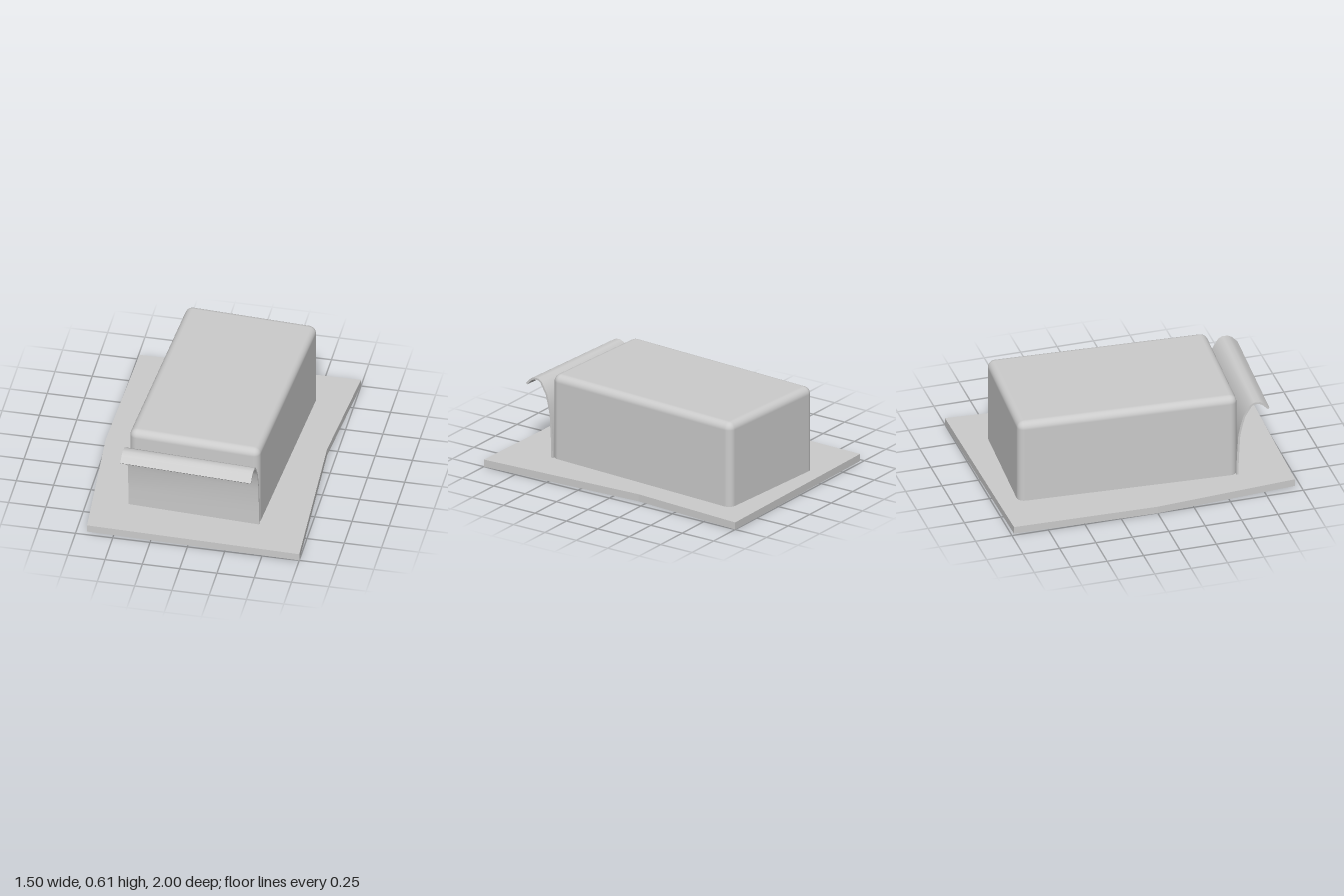
import * as THREE from 'three';
import { toCreasedNormals } from 'three/addons/utils/BufferGeometryUtils.js';
import { RoundedBoxGeometry } from 'three/addons/geometries/RoundedBoxGeometry.js';

const material = new THREE.MeshStandardMaterial({ color: 0xcccccc });

function part(name, geometry, parent) {
  const mesh = new THREE.Mesh(geometry, material);
  mesh.name = name;
  parent.add(mesh);
  return mesh;
}

// Plan outlines as [x, z]
const outer = [[-0.73, -0.98], [0.75, -1], [0.69, -0.19], [0.75, 1], [-0.68, 0.965], [-0.755, 0]];
const inner = [[-0.63, -0.89], [0.64, -0.92], [0.59, -0.19], [0.65, 0.885], [-0.58, 0.87], [-0.65, 0]];
const toPoints = (plan) => plan.map(([x, z]) => new THREE.Vector2(x, -z));

function slab(plan, bottom, height, hole) {
  const shape = new THREE.Shape(toPoints(plan));
  if (hole) shape.holes.push(new THREE.Path(toPoints(hole)));
  return new THREE.ExtrudeGeometry(shape, { depth: height, bevelEnabled: false })
    .rotateX(-Math.PI / 2)
    .translate(0, bottom, 0);
}

// Rounded on top and at the upright corners, cut flat at the bottom
function blockGeometry(width, length, top, bottom) {
  const geometry = new RoundedBoxGeometry(width, top * 2, length, 3, 0.05);
  const p = geometry.attributes.position;
  for (let i = 0; i < p.count; i++) if (p.getY(i) < bottom) p.setY(i, bottom);
  return geometry;
}

// Thin curled sheet: a [z, y] centre line thickened and extruded across the width
function sheetGeometry(line, thickness, width) {
  const pts = line.map(([z, y]) => new THREE.Vector2(z, y));
  const offset = (sign) => pts.map((p, i) => {
    const t = pts[Math.min(i + 1, pts.length - 1)].clone().sub(pts[Math.max(i - 1, 0)]).normalize();
    return new THREE.Vector2(p.x - t.y * sign * thickness / 2, p.y + t.x * sign * thickness / 2);
  });
  const shape = new THREE.Shape([...offset(1), ...offset(-1).reverse()]);
  const geometry = new THREE.ExtrudeGeometry(shape, { depth: width, bevelEnabled: false })
    .translate(0, 0, -width / 2)
    .rotateY(-Math.PI / 2);
  return toCreasedNormals(geometry, 0.7);
}

export function createModel() {
  const model = new THREE.Group();
  model.name = 'butterDish';

  // Board with a shallow recess
  const board = new THREE.Group();
  board.name = 'board';
  model.add(board);
  part('boardBase', slab(outer, 0, 0.025), board);
  part('boardRim', slab(outer, 0.025, 0.025, inner), board);

  // Block and wrapper sit slightly turned on the board
  const butter = new THREE.Group();
  butter.name = 'butter';
  butter.position.set(0.017, 0, -0.077);
  butter.rotation.y = -0.058;
  model.add(butter);
  part('butterBlock', blockGeometry(0.887, 1.485, 0.612, 0.02), butter);

  // Wrapper flap curling away from the front face
  const curl = [
    [0.738, 0.022], [0.741, 0.15], [0.751, 0.32], [0.766, 0.39], [0.785, 0.46],
    [0.83, 0.535], [0.855, 0.549], [0.89, 0.547], [0.912, 0.535], [0.95, 0.497],
  ];
  part('wrapperFlap', sheetGeometry(curl, 0.014, 0.887), butter);

  return model;
}
